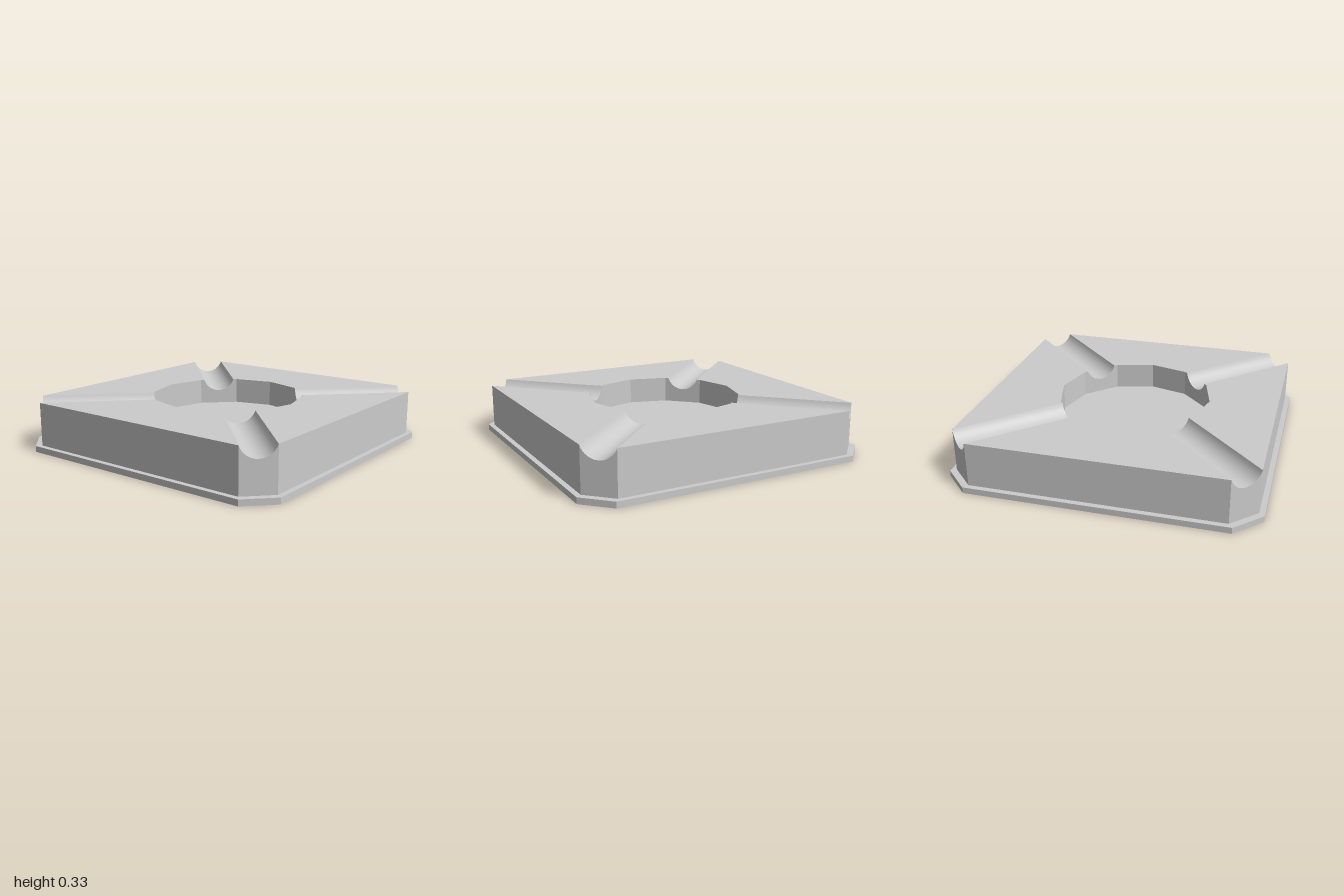
import * as THREE from 'three';

const material = new THREE.MeshStandardMaterial({ color: 0xcccccc, side: THREE.DoubleSide });

// Main dimensions
const PLATE = 0.04, TOP = 0.33, FLOOR = 0.155;
const HALF = 0.965, CORNER = 0.81;              // body half width, where the corner cut starts
const BOWL = 0.515, SIDES = 12;                 // twelve-sided bowl
const APOTHEM = BOWL * Math.cos(Math.PI / SIDES);
const FACET = 2 * BOWL * Math.sin(Math.PI / SIDES);
const CUT = (HALF + CORNER) / Math.SQRT2;       // distance of the corner face from the centre
const W = (HALF - CORNER) / Math.SQRT2;         // half width of a groove
const DEPTH = 0.08;
const RADIUS = (W * W + DEPTH * DEPTH) / (2 * DEPTH);
const ARC = Math.asin(W / RADIUS);
const ARC_STEPS = 16;

function mesh(name, geometry) {
  const m = new THREE.Mesh(geometry, material);
  m.name = name;
  return m;
}

const shapeOf = (points) => new THREE.Shape(points.map(([x, y]) => new THREE.Vector2(x, y)));

// Point i of the groove's round cross-section, from one edge to the other
function groovePoint(i) {
  const a = ARC * (2 * i / ARC_STEPS - 1);
  return [RADIUS * Math.sin(a), TOP - DEPTH + RADIUS * (1 - Math.cos(a))];
}

// Upright wall with the groove notched out of its top edge
function notchedWall(halfWidth, bottom) {
  const points = [[halfWidth, bottom]];
  if (halfWidth > W + 0.001) points.push([halfWidth, TOP]);
  for (let i = ARC_STEPS; i >= 0; i--) points.push(groovePoint(i));
  if (halfWidth > W + 0.001) points.push([-halfWidth, TOP]);
  points.push([-halfWidth, bottom]);
  return new THREE.ShapeGeometry(shapeOf(points));
}

// Corner running along +z: groove channel and its two end faces
function makeCorner() {
  const corner = new THREE.Group();
  const channel = new THREE.PlaneGeometry(1, CUT - APOTHEM, ARC_STEPS, 1).rotateX(-Math.PI / 2);
  const pos = channel.attributes.position;
  for (let i = 0; i < pos.count; i++) {
    const [x, y] = groovePoint(i % (ARC_STEPS + 1));
    pos.setXYZ(i, x, y, pos.getZ(i) + (CUT + APOTHEM) / 2);
  }
  channel.computeVertexNormals();
  corner.add(mesh('groove', channel));
  corner.add(mesh('cornerFace', notchedWall(W, PLATE).translate(0, 0, CUT)));
  corner.add(mesh('bowlNotchedWall',
    notchedWall(FACET / 2, FLOOR).rotateY(Math.PI).translate(0, 0, APOTHEM)));
  return corner;
}

// Side facing +z: top surface, outer wall and two bowl facets
function makeSide() {
  const side = new THREE.Group();
  const gx = (APOTHEM - W) / Math.SQRT2, gz = (APOTHEM + W) / Math.SQRT2;
  const vx = BOWL * Math.cos(Math.PI / 3), vz = BOWL * Math.sin(Math.PI / 3);
  const rim = [[-CORNER, -HALF], [CORNER, -HALF], [gx, -gz], [vx, -vz],
    [0, -BOWL], [-vx, -vz], [-gx, -gz]];
  side.add(mesh('topSurface',
    new THREE.ShapeGeometry(shapeOf(rim)).rotateX(-Math.PI / 2).translate(0, TOP, 0)));
  side.add(mesh('outerWall',
    new THREE.PlaneGeometry(2 * CORNER, TOP - PLATE).translate(0, (TOP + PLATE) / 2, HALF)));
  for (const s of [-1, 1]) {
    side.add(mesh('bowlWall', new THREE.PlaneGeometry(FACET, TOP - FLOOR)
      .rotateY(Math.PI).translate(0, (TOP + FLOOR) / 2, APOTHEM).rotateY(s * Math.PI / SIDES)));
  }
  return side;
}

export function createModel() {
  const model = new THREE.Group();
  model.name = 'squareTray';

  // Base plate with cut corners
  const c = 0.835;
  const outline = shapeOf([[c, -1], [1, -c], [1, c], [c, 1], [-c, 1], [-1, c], [-1, -c], [-c, -1]]);
  model.add(mesh('basePlate',
    new THREE.ExtrudeGeometry(outline, { depth: PLATE, bevelEnabled: false }).rotateX(-Math.PI / 2)));

  // Bowl floor
  model.add(mesh('bowlFloor',
    new THREE.CircleGeometry(BOWL, SIDES).rotateX(-Math.PI / 2).translate(0, FLOOR, 0)));

  // Four sides and four grooved corners
  for (let i = 0; i < 4; i++) {
    const side = makeSide();
    side.name = 'side' + (i + 1);
    side.rotation.y = i * Math.PI / 2;
    const corner = makeCorner();
    corner.name = 'corner' + (i + 1);
    corner.rotation.y = (i + 0.5) * Math.PI / 2;
    model.add(side, corner);
  }
  return model;
}
